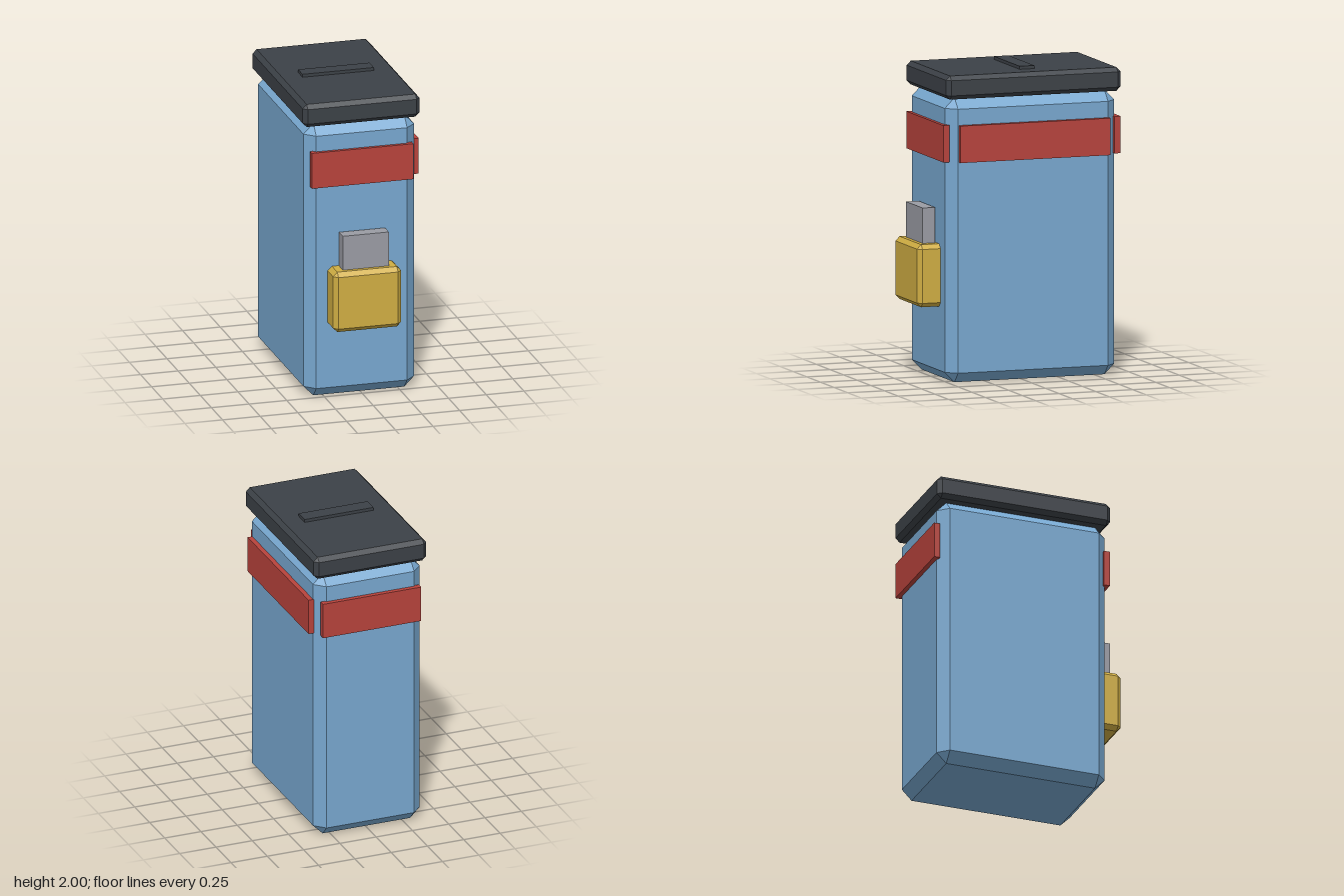
import * as THREE from 'three';
import { ConvexGeometry } from 'three/addons/geometries/ConvexGeometry.js';

const paint = (name, color) => {
  const m = new THREE.MeshStandardMaterial({ color });
  m.name = name;
  return m;
};

// Box with a flat 45 degree chamfer on every edge
function chamferBox(w, h, d, b) {
  const half = [w / 2, h / 2, d / 2];
  const points = [];
  for (const sx of [-1, 1]) for (const sy of [-1, 1]) for (const sz of [-1, 1]) {
    const s = [sx, sy, sz];
    for (let axis = 0; axis < 3; axis++) {
      points.push(new THREE.Vector3(...half.map((v, i) => s[i] * (i === axis ? v : v - b))));
    }
  }
  return new ConvexGeometry(points);
}

export function createModel() {
  const group = new THREE.Group();
  const blue = paint('body blue', 0x78a8d0);
  const charcoal = paint('lid charcoal', 0x3c4147);
  const red = paint('band red', 0xb8433c);
  const gold = paint('pouch gold', 0xd0ae43);
  const grey = paint('card grey', 0x9a9ca4);

  // Places a box between two limits on each axis
  const add = (name, material, [x0, x1], [y0, y1], [z0, z1], bevel = 0) => {
    const size = [x1 - x0, y1 - y0, z1 - z0];
    const geometry = bevel ? chamferBox(...size, bevel) : new THREE.BoxGeometry(...size);
    const mesh = new THREE.Mesh(geometry, material);
    mesh.name = name;
    mesh.position.set((x0 + x1) / 2, (y0 + y1) / 2, (z0 + z1) / 2);
    group.add(mesh);
  };

  // Body and lid
  add('body', blue, [-0.375, 0.36], [0, 1.83], [-0.635, 0.515], 0.066);
  add('lid', charcoal, [-0.395, 0.38], [1.828, 1.98], [-0.655, 0.528], 0.027);
  add('lidRidge', charcoal, [-0.243, 0.23], [1.96, 2.0], [-0.117, -0.017]);

  // Bands on the front, back and left side
  const bandY = [1.422, 1.66];
  add('frontBand', red, [-0.345, 0.33], bandY, [0.497, 0.538]);
  add('backBand', red, [-0.345, 0.33], bandY, [-0.665, -0.624]);
  add('sideBand', red, [0.352, 0.392], bandY, [-0.573, 0.443]);

  // Front pouch with a card standing in it
  add('pouch', gold, [-0.233, 0.218], [0.477, 0.88], [0.485, 0.665], 0.028);
  add('card', grey, [-0.16, 0.145], [0.75, 1.108], [0.525, 0.61]);

  return group;
}
